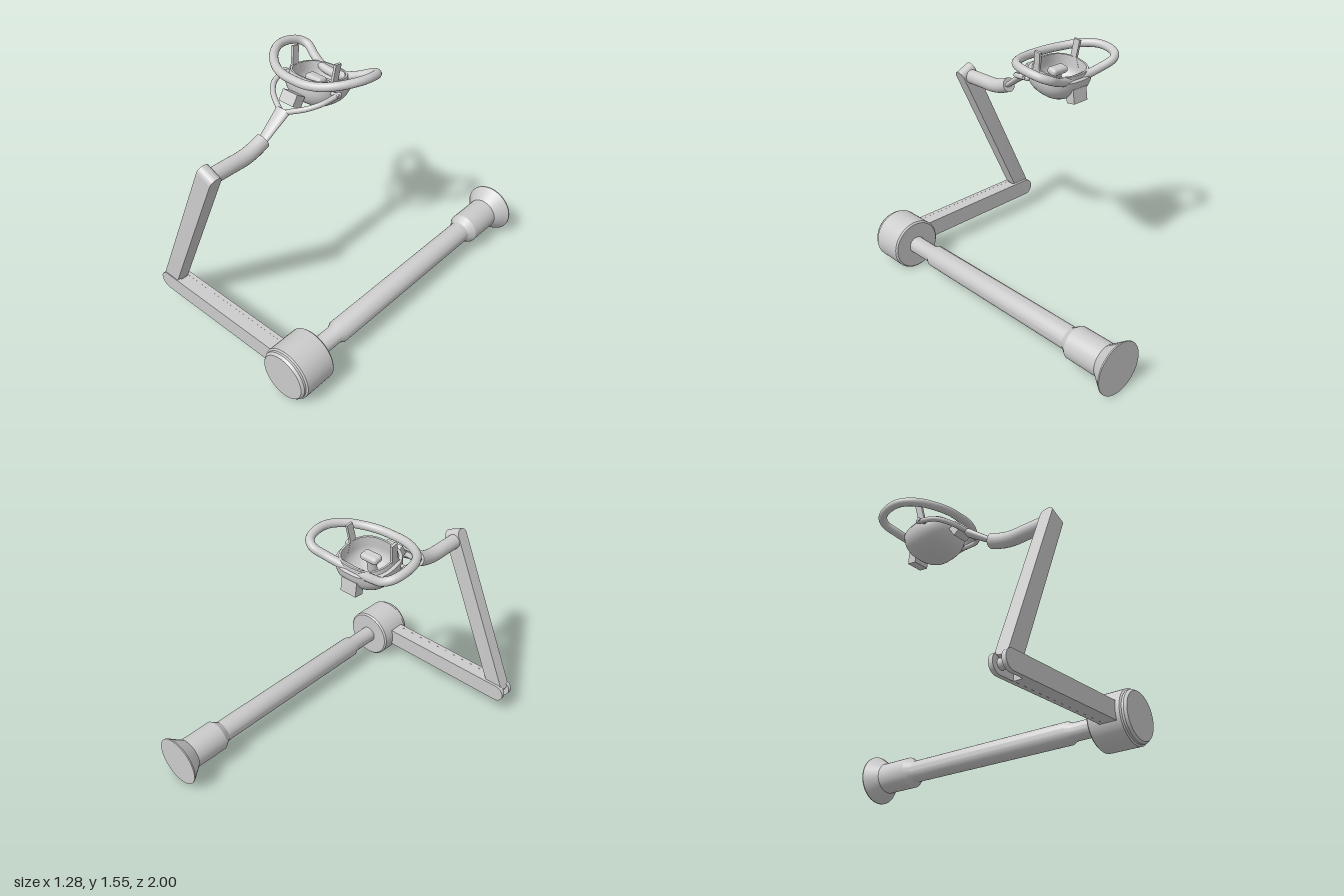
import * as THREE from 'three';
import { toCreasedNormals } from 'three/addons/utils/BufferGeometryUtils.js';
import { RoundedBoxGeometry } from 'three/addons/geometries/RoundedBoxGeometry.js';

const material = new THREE.MeshStandardMaterial({ color: 0xcccccc, side: THREE.DoubleSide });
const V = (x, y, z) => new THREE.Vector3(x, y, z);

export function createModel() {
  const model = new THREE.Group();

  function add(name, geometry, position = [0, 0, 0], rotation = [0, 0, 0], parent = model) {
    const mesh = new THREE.Mesh(geometry, material);
    mesh.name = name;
    mesh.position.set(...position);
    mesh.rotation.set(...rotation);
    parent.add(mesh);
    return mesh;
  }
  const lathe = (points, segments = 48) => toCreasedNormals(
    new THREE.LatheGeometry(points.map(p => new THREE.Vector2(...p)), segments), 0.5);

  // Round-ended bar along y from 0 to length, extruded about z = 0
  function roundBar(length, radius, depth) {
    const shape = new THREE.Shape();
    shape.absarc(0, radius, radius, Math.PI, Math.PI * 2, false);
    shape.absarc(0, length - radius, radius, 0, Math.PI, false);
    const geometry = new THREE.ExtrudeGeometry(shape, { depth, bevelEnabled: false, curveSegments: 16 });
    return toCreasedNormals(geometry.translate(0, 0, -depth / 2), 0.5);
  }

  // Mounting post: flared foot, sleeve, long tube and thin neck along z
  const axis = [0.475, 0.163, 0];
  add('mountingPost', lathe([
    [0, -1], [0.16, -1], [0.16, -0.993], [0.1, -0.91], [0.1, -0.69], [0.07, -0.645],
    [0.07, 0.55], [0.055, 0.58], [0.055, 0.78], [0, 0.78]]), axis, [Math.PI / 2, 0, 0]);
  add('pivotDrum', lathe([
    [0, 0.755], [0.153, 0.755], [0.163, 0.765], [0.163, 0.965], [0.153, 0.972],
    [0.153, 0.985], [0.142, 1], [0, 1]], 64), axis, [Math.PI / 2, 0, 0]);

  // Lower arm: solid core with two cheeks that fork around the elbow
  add('lowerArmCore', new THREE.BoxGeometry(0.9, 0.113, 0.06), [-0.03, 0.168, 0.888]);
  for (const z of [0.848, 0.927]) {
    add('lowerArmCheek', roundBar(1.05, 0.057, 0.026), [0.41, 0.168, z], [0, 0, Math.PI / 2]);
  }
  add('elbowPin', new THREE.CylinderGeometry(0.03, 0.03, 0.08, 20), [-0.575, 0.168, 0.888], [Math.PI / 2, 0, 0]);

  // Slanted upper arm, rounded when seen from the side
  add('upperArm', roundBar(1.14, 0.041, 0.108).rotateY(Math.PI / 2), [-0.572, 0.172, 0.894], [0, 0, -0.427]);

  // Everything at the lamp end is symmetrical about this line
  const lamp = new THREE.Group();
  lamp.name = 'lamp';
  lamp.position.x = -0.132;
  model.add(lamp);

  // Bent tube carrying the lamp
  const bend = new THREE.CatmullRomCurve3([
    V(0, 1.15, 0.89), V(0, 1.15, 0.74), V(0, 1.15, 0.64), V(0, 1.162, 0.57), V(0, 1.19, 0.49)]);
  add('bentTube', new THREE.TubeGeometry(bend, 32, 0.046, 24), [0, 0, 0], [0, 0, 0], lamp);
  for (const t of [0, 1]) {
    const cap = add('bentTubeCap', new THREE.CircleGeometry(0.046, 24), bend.getPoint(t).toArray(), [0, 0, 0], lamp);
    cap.quaternion.setFromUnitVectors(V(0, 0, 1), bend.getTangent(t));
  }

  // Yoke: flattened stem that splits into two curved arms with pivot pins
  const stem = new THREE.CylinderGeometry(0.05, 0.03, 0.22, 24).scale(1, 1, 0.5);
  add('yokeStem', stem, [0, 1.247, 0.415], [-0.95, 0, 0], lamp);
  for (const side of [1, -1]) {
    const arm = new THREE.CatmullRomCurve3([
      V(0, 1.298, 0.34), V(0.05 * side, 1.318, 0.32), V(0.13 * side, 1.347, 0.275),
      V(0.185 * side, 1.372, 0.21), V(0.208 * side, 1.39, 0.1)]);
    add('yokeArm', new THREE.TubeGeometry(arm, 28, 0.016, 12), [0, 0, 0], [0, 0, 0], lamp);
    add('yokeTip', new THREE.SphereGeometry(0.017, 14, 10), [0.208 * side, 1.39, 0.1], [0, 0, 0], lamp);
    add('pivotPin', new THREE.CylinderGeometry(0.011, 0.011, 0.07, 14),
      [0.19 * side, 1.392, 0.115], [0, 0, Math.PI / 2], lamp);
  }

  // Lamp head tips back slightly
  const head = new THREE.Group();
  head.name = 'lampHead';
  head.position.set(0, 1.38, 0.045);
  head.rotation.x = -0.17;
  lamp.add(head);

  // Hollow bowl with a rounded-square plan
  const bowl = [];
  for (let i = 0; i <= 12; i++) {
    const a = (i / 12) * Math.PI / 2;
    bowl.push([0.182 * Math.sin(a), -0.14 * Math.cos(a)]);
  }
  bowl.push([0.182, 0.025], [0.162, 0.03], [0.158, 0.055], [0.146, 0.055]);
  for (let i = 12; i >= 0; i--) {
    const a = (i / 12) * Math.PI / 2;
    bowl.push([0.142 * Math.sin(a), -0.105 * Math.cos(a)]);
  }
  const bowlGeometry = new THREE.LatheGeometry(bowl.map(p => new THREE.Vector2(...p)), 64);
  const p = bowlGeometry.attributes.position;
  for (let i = 0; i < p.count; i++) {
    const a = Math.atan2(p.getZ(i), p.getX(i));
    const k = (Math.abs(Math.cos(a)) ** 2.5 + Math.abs(Math.sin(a)) ** 2.5) ** (-1 / 2.5);
    p.setX(i, p.getX(i) * k);
    p.setZ(i, p.getZ(i) * k * 0.92);
  }
  add('bowl', toCreasedNormals(bowlGeometry, 0.5), [0, 0, 0], [0, 0, 0], head);

  // Bulb with its shield cap
  add('bulb', new THREE.CylinderGeometry(0.028, 0.028, 0.12, 20), [0, -0.045, 0.02], [0, 0, 0], head);
  add('bulbShield', new RoundedBoxGeometry(0.12, 0.045, 0.07, 4, 0.02), [0, 0.015, 0.02], [0, 0, 0], head);

  // Blocks on the front and back of the bowl
  add('frontBlock', new THREE.BoxGeometry(0.11, 0.07, 0.07), [0, -0.062, 0.205], [-0.4, 0, 0], head);
  add('backBlock', new THREE.BoxGeometry(0.11, 0.085, 0.06), [0, -0.068, -0.152], [0.3, 0, 0], head);

  // Tapered tabs rising from both sides of the rim
  for (const side of [1, -1]) {
    const tab = new THREE.Shape([[-0.06, 0], [0.06, 0], [0.022, 0.06], [0.022, 0.165], [-0.022, 0.165], [-0.022, 0.06]]
      .map(q => new THREE.Vector2(...q)));
    const geometry = new THREE.ExtrudeGeometry(tab, { depth: 0.016, bevelEnabled: false })
      .translate(0, 0, -0.008).rotateY(Math.PI / 2);
    add('rimTab', geometry, [0.148 * side, 0, 0.04], [0, 0, -0.09 * side], head);
  }

  // Closed handle loop, dipping at the back
  const half = [[0.08, 1.464, 0.236], [0.17, 1.47, 0.205], [0.26, 1.485, 0.135], [0.315, 1.493, 0.04],
    [0.322, 1.485, -0.05], [0.3, 1.468, -0.115], [0.255, 1.448, -0.138], [0.17, 1.41, -0.11], [0.08, 1.383, -0.085]];
  const loop = [V(0, 1.463, 0.24), ...half.map(q => V(...q)), V(0, 1.375, -0.08),
    ...half.map(([x, y, z]) => V(-x, y, z)).reverse()];
  add('handleLoop', new THREE.TubeGeometry(new THREE.CatmullRomCurve3(loop, true), 120, 0.026, 16, true),
    [0, 0, 0], [0, 0, 0], lamp);

  return model;
}
